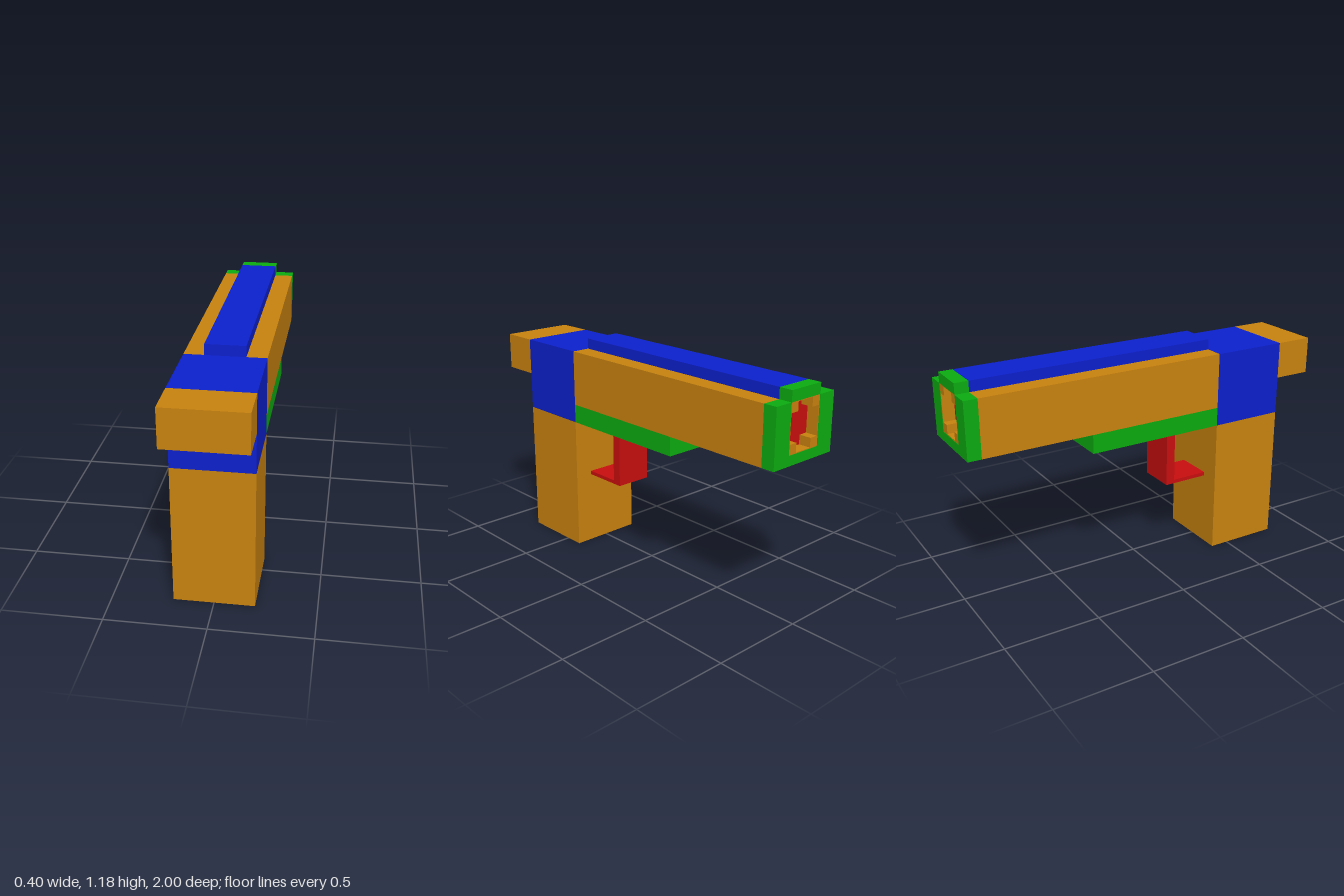
import * as THREE from 'three';

export function createModel() {
  const model = new THREE.Group();
  model.name = 'toyBlaster';

  const material = (name, color) => {
    const m = new THREE.MeshStandardMaterial({ color });
    m.name = name;
    return m;
  };
  const orange = material('orange', 0xc8820e);
  const blue = material('blue', 0x0c20cc);
  const green = material('green', 0x0cab10);
  const red = material('red', 0xc80e0e);

  // Box given by its extents on each axis
  const block = (name, mat, [x0, x1], [y0, y1], [z0, z1], parent = model) => {
    const mesh = new THREE.Mesh(new THREE.BoxGeometry(x1 - x0, y1 - y0, z1 - z0), mat);
    mesh.position.set((x0 + x1) / 2, (y0 + y1) / 2, (z0 + z1) / 2);
    mesh.name = name;
    parent.add(mesh);
  };
  const group = (name) => {
    const g = new THREE.Group();
    g.name = name;
    model.add(g);
    return g;
  };
  const full = [-0.2, 0.2], narrow = [-0.1, 0.1];

  // Body
  block('grip', orange, full, [0, 0.73], [0.4, 0.8]);
  block('receiver', blue, full, [0.73, 1.125], [0.4, 0.8]);
  block('rearBlock', orange, full, [0.93, 1.125], [0.8, 1]);
  block('barrel', orange, full, [0.83, 1.125], [-0.93, 0.4]);
  block('topRail', blue, narrow, [1.125, 1.18], [-0.93, 0.4]);
  block('foreGrip', green, full, [0.73, 0.83], [-0.35, 0.4]);

  // Trigger guard
  const guard = group('triggerGuard');
  block('guardFront', red, narrow, [0.4, 0.73], [0.15, 0.2], guard);
  block('guardBottom', red, narrow, [0.4, 0.42], [0.2, 0.4], guard);
  block('guardTop', red, narrow, [0.715, 0.73], [0.2, 0.4], guard);

  // Muzzle frame around a square opening
  const muzzle = group('muzzle');
  const depth = [-1, -0.93];
  block('frameRight', green, [-0.2, -0.1], [0.83, 1.125], depth, muzzle);
  block('frameLeft', green, [0.1, 0.2], [0.83, 1.125], depth, muzzle);
  block('frameBottom', green, narrow, [0.83, 0.88], depth, muzzle);
  block('frameTop', green, narrow, [1.125, 1.18], depth, muzzle);

  // Stepped bore: lining, corner blocks and red core
  const inner = [-0.998, -0.93];
  for (const s of [-1, 1]) {
    const side = (a, b) => (s < 0 ? [-b, -a] : [a, b]);
    block('boreLining', orange, side(0.096, 0.1), [0.88, 1.125], inner, muzzle);
    block('boreCorner', orange, side(0.05, 0.096), [0.884, 0.93], inner, muzzle);
    block('boreCorner', orange, side(0.05, 0.096), [1.075, 1.121], inner, muzzle);
  }
  block('boreFloor', orange, [-0.096, 0.096], [0.88, 0.884], inner, muzzle);
  block('boreCeiling', orange, [-0.096, 0.096], [1.121, 1.125], inner, muzzle);
  block('boreCore', red, [-0.096, 0.096], [0.884, 1.121], [-0.936, -0.93], muzzle);

  return model;
}
